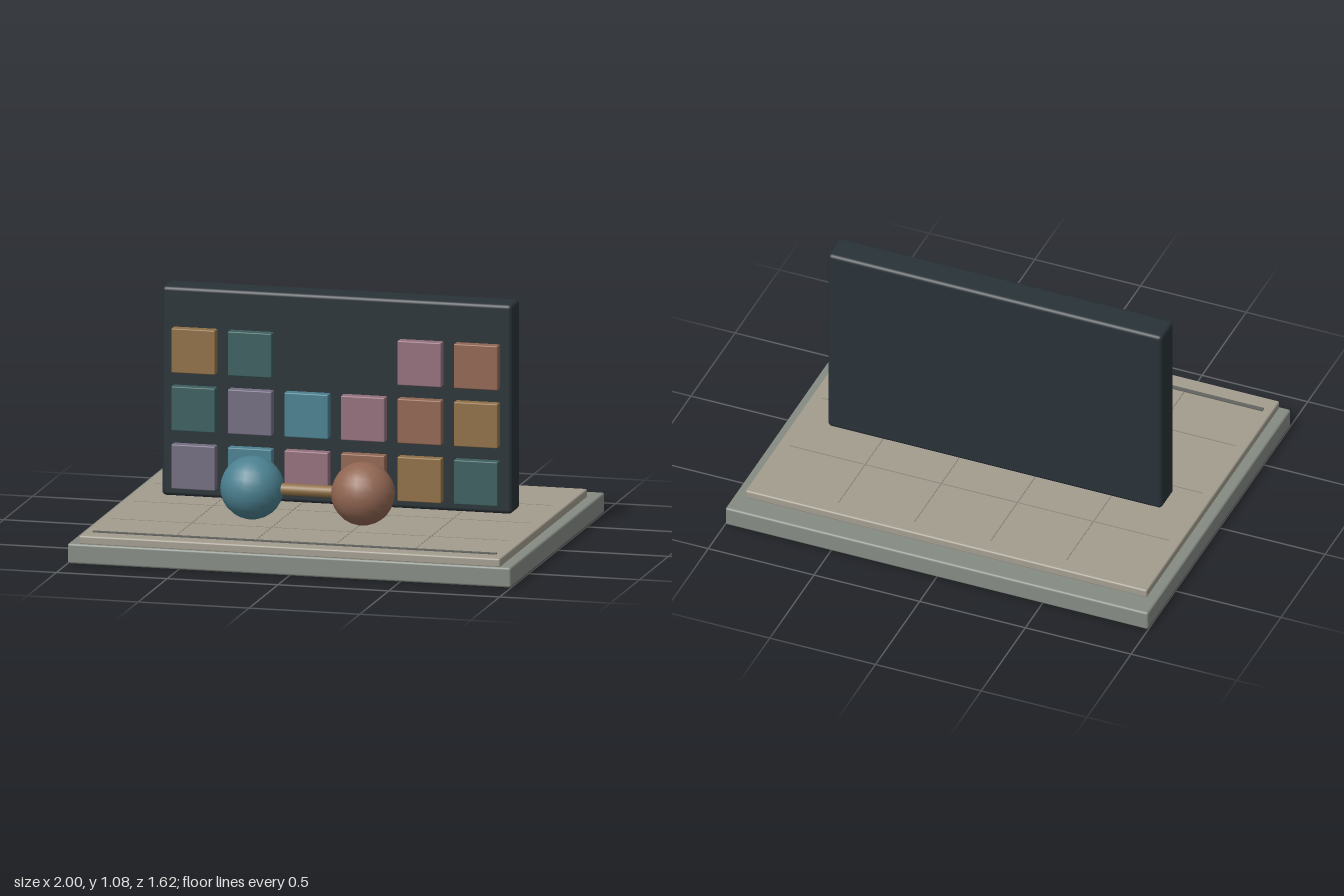
import * as THREE from 'three';
import { RoundedBoxGeometry } from 'three/addons/geometries/RoundedBoxGeometry.js';

const palette = {
  amber: 0x8f7046, teal: 0x3c5e5e, lavender: 0x726d80,
  blue: 0x4b8090, pink: 0x93707c, rust: 0x916652,
};

function add(group, name, geometry, color, x, y, z) {
  const mesh = new THREE.Mesh(geometry, new THREE.MeshStandardMaterial({ color }));
  mesh.name = name;
  mesh.position.set(x, y, z);
  group.add(mesh);
  return mesh;
}

export function createModel() {
  const model = new THREE.Group();
  model.name = 'displayBoard';

  // Stepped floor
  add(model, 'base', new RoundedBoxGeometry(2, 0.09, 1.62, 2, 0.01), 0x858b83, 0, 0.045, 0);
  add(model, 'floorPlate', new RoundedBoxGeometry(1.9, 0.04, 1.505, 2, 0.008), 0xa39d8f, 0, 0.106, 0.05);

  // Fine floor grid and the raised strip along the front edge
  const grid = new THREE.Group();
  grid.name = 'floorGrid';
  for (const x of [-0.54, -0.18, 0.18, 0.54])
    add(grid, 'gridLine', new THREE.BoxGeometry(0.005, 0.002, 1.36), 0x8a857a, x, 0.1258, 0.05);
  for (const z of [-0.325, 0.05, 0.425])
    add(grid, 'gridLine', new THREE.BoxGeometry(1.8, 0.002, 0.005), 0x8a857a, 0, 0.1258, z);
  model.add(grid);
  add(model, 'frontStrip', new THREE.BoxGeometry(1.82, 0.008, 0.02), 0x62645f, 0, 0.127, 0.712);

  // Upright board
  add(model, 'board', new RoundedBoxGeometry(1.58, 0.934, 0.142, 3, 0.018), 0x293238, 0, 0.612, -0.084);

  // Coloured tiles; the top row has a gap in the middle
  const rows = [
    ['lavender', 'blue', 'pink', 'rust', 'amber', 'teal'],
    ['teal', 'lavender', 'blue', 'pink', 'rust', 'amber'],
    ['amber', 'teal', null, null, 'pink', 'rust'],
  ];
  const tiles = new THREE.Group();
  tiles.name = 'tiles';
  const tileGeometry = new RoundedBoxGeometry(0.198, 0.198, 0.05, 2, 0.005);
  rows.forEach((row, r) => row.forEach((color, c) => {
    if (color) add(tiles, 'tile', tileGeometry, palette[color], (c - 2.5) * 0.255, 0.285 + r * 0.259, 0.005);
  }));
  model.add(tiles);

  // Two balls joined by a rod
  const dumbbell = new THREE.Group();
  dumbbell.name = 'joinedBalls';
  dumbbell.position.set(-0.003, 0.312, 0.478);
  const ball = new THREE.SphereGeometry(0.14, 20, 14);
  add(dumbbell, 'leftBall', ball, palette.rust, 0.25, 0, 0);
  add(dumbbell, 'rightBall', ball, palette.blue, -0.25, 0, 0);
  const rod = add(dumbbell, 'rod', new THREE.CylinderGeometry(0.027, 0.027, 0.4, 12), palette.amber, 0, 0, 0);
  rod.rotation.z = Math.PI / 2;
  model.add(dumbbell);

  return model;
}
